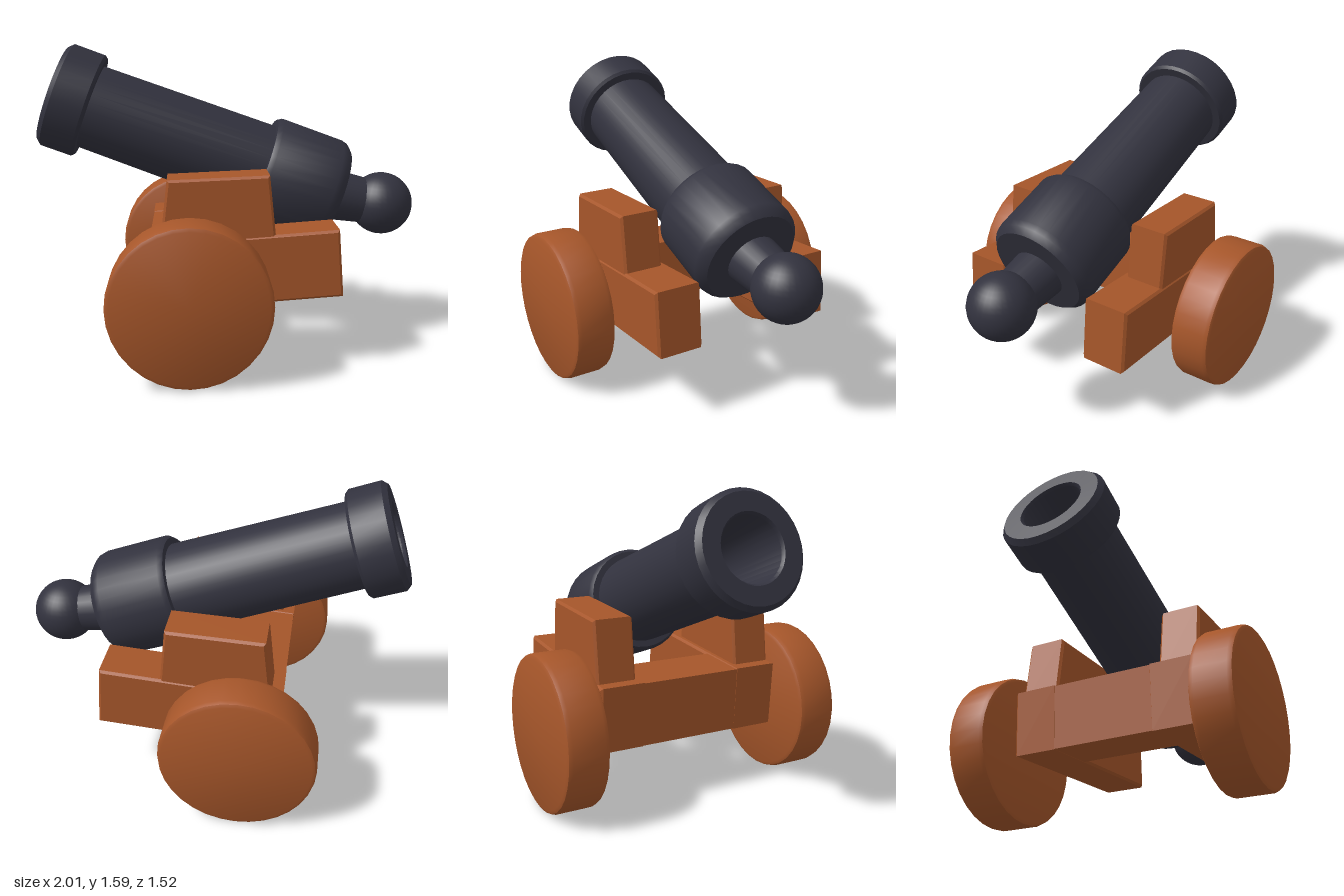
import * as THREE from 'three';
import { toCreasedNormals } from 'three/addons/utils/BufferGeometryUtils.js';

const wood = new THREE.MeshStandardMaterial({ color: 0xa6562a });
wood.name = 'wood';
const iron = new THREE.MeshStandardMaterial({ color: 0x32323e });
iron.name = 'iron';

function mesh(name, geometry, material, x = 0, y = 0, z = 0) {
  const m = new THREE.Mesh(geometry, material);
  m.name = name;
  m.position.set(x, y, z);
  return m;
}

// Turned part: profile of [radius, height] pairs, running up the outside
function turned(profile, sides) {
  const pts = profile.map(([r, h]) => new THREE.Vector2(r, h));
  return toCreasedNormals(new THREE.LatheGeometry(pts, sides), 0.6);
}

// Plank with softened edges: side outline in x/y, spanning z0 to z1
function plank(outline, z0, z1) {
  const b = 0.012;
  const shape = new THREE.Shape(outline.map(([x, y]) => new THREE.Vector2(x, y)));
  const g = new THREE.ExtrudeGeometry(shape, {
    depth: z1 - z0 - 2 * b, bevelEnabled: true, bevelSize: b,
    bevelOffset: -b, bevelThickness: b, bevelSegments: 1,
  });
  g.translate(0, 0, z0 + b);
  return g;
}

export function createModel() {
  const model = new THREE.Group();
  model.name = 'cannon';

  // Barrel from breech to muzzle, with a hollow bore
  const gun = new THREE.Group();
  gun.name = 'gun';
  const barrel = mesh('barrel', turned([
    [0, 0], [0.25, 0], [0.278, 0.03], [0.286, 0.06], [0.286, 0.4], [0.27, 0.425], [0.236, 0.425],
    [0.222, 1.375], [0.265, 1.375], [0.278, 1.39], [0.278, 1.555], [0.255, 1.58],
    [0.165, 1.58], [0.155, 1.565], [0.15, 1.1], [0, 1.1],
  ], 32), iron, 0.567, 0.787, -0.005);
  barrel.rotation.z = 1.217;

  // Neck and ball behind the breech
  const neck = mesh('neck', new THREE.CylinderGeometry(0.115, 0.14, 0.3, 24), iron, 0.68, 0.757, -0.012);
  neck.rotation.z = -1.768;
  const knob = mesh('knob', new THREE.SphereGeometry(0.168, 32, 20), iron, 0.834, 0.73, -0.012);
  gun.add(barrel, neck, knob);
  model.add(gun);

  // Carriage: two stepped cheeks joined by a cross block
  const carriage = new THREE.Group();
  carriage.name = 'carriage';
  const beam = [[-0.39, 0.305], [0.543, 0.368], [0.518, 0.705], [-0.415, 0.64]];
  const cheek = [[-0.36, 0.6], [0.21, 0.64], [0.175, 0.975], [-0.32, 0.955]];
  const cross = [[-0.39, 0.307], [-0.105, 0.327], [-0.13, 0.655], [-0.413, 0.636]];
  carriage.add(mesh('crossBlock', plank(cross, -0.3, 0.3), wood));

  for (const [side, s] of [['left', 1], ['right', -1]]) {
    const span = (a, b) => (s > 0 ? [a, b] : [-b, -a]);
    carriage.add(mesh(side + 'Beam', plank(beam, ...span(0.257, 0.503)), wood));
    carriage.add(mesh(side + 'Cheek', plank(cheek, ...span(0.288, 0.497)), wood));

    // Solid wheel with rounded rims
    const wheel = mesh(side + 'Wheel', turned([
      [0, -0.108], [0.372, -0.108], [0.388, -0.1], [0.395, -0.08],
      [0.395, 0.08], [0.388, 0.1], [0.372, 0.108], [0, 0.108],
    ], 32), wood, -0.215, 0.396, s * 0.65);
    wheel.rotation.x = Math.PI / 2;
    model.add(wheel);
  }
  model.add(carriage);
  return model;
}
